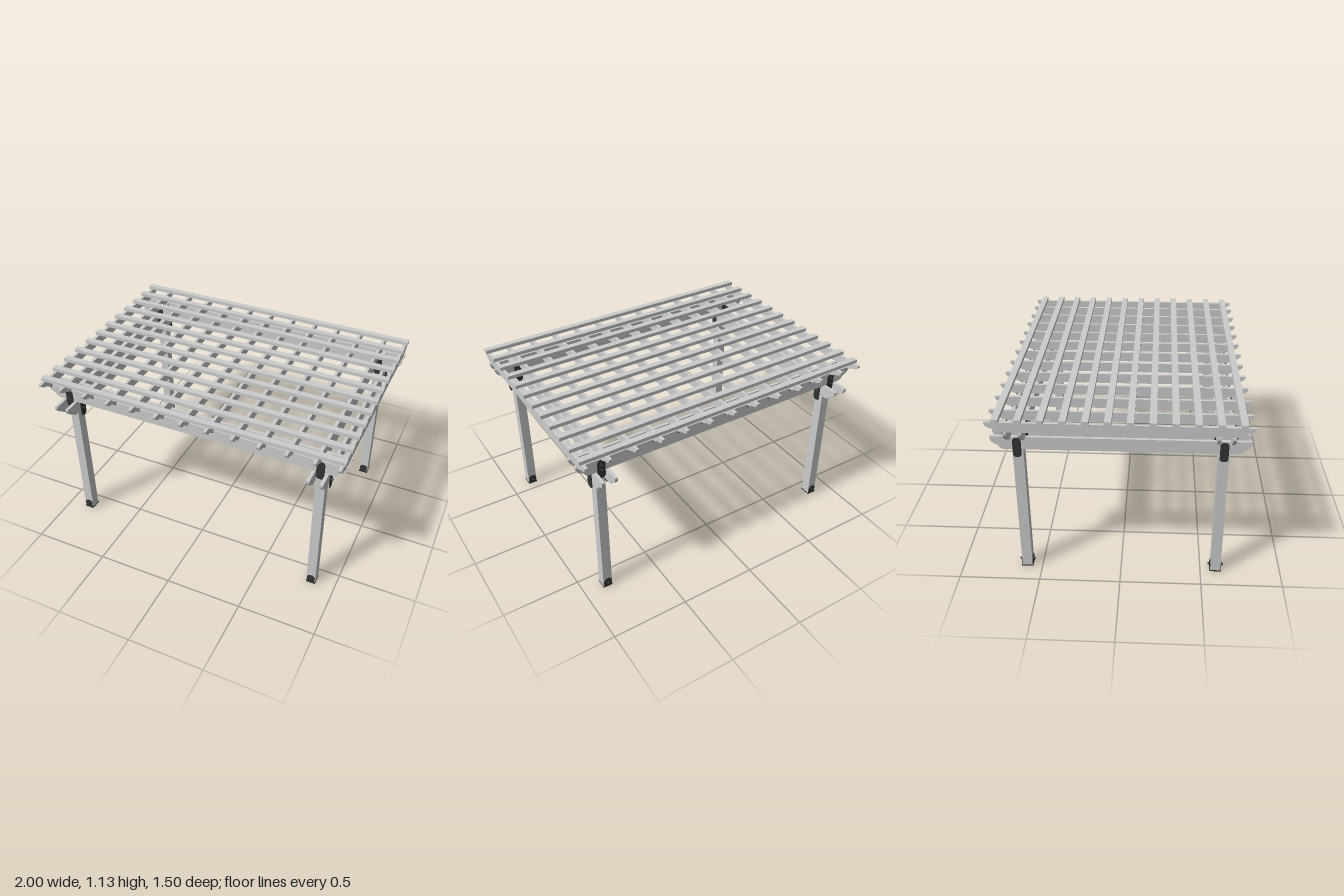
import * as THREE from 'three';

const wood = new THREE.MeshStandardMaterial({ color: 0xcccccc, flatShading: true });
const metal = new THREE.MeshStandardMaterial({ color: 0x333333, flatShading: true });

const POST_X = 0.845, POST_Z = 0.595;

function add(parent, name, geometry, material, x = 0, y = 0, z = 0) {
  const mesh = new THREE.Mesh(geometry, material);
  mesh.name = name;
  mesh.position.set(x, y, z);
  parent.add(mesh);
  return mesh;
}

// Timber along x with stepped, scrolled ends; the bottom sits at y = 0
function scrolledTimber(half, h, thick, cut) {
  const s = new THREE.Shape();
  s.moveTo(-half, h);
  s.lineTo(-half, h * 0.84);
  s.quadraticCurveTo(-half + cut * 0.12, h * 0.45, -half + cut * 0.5, h * 0.36);
  s.lineTo(-half + cut * 0.62, h * 0.3);
  s.quadraticCurveTo(-half + cut * 0.7, h * 0.04, -half + cut, 0);
  s.lineTo(half - cut, 0);
  s.quadraticCurveTo(half - cut * 0.7, h * 0.04, half - cut * 0.62, h * 0.3);
  s.lineTo(half - cut * 0.5, h * 0.36);
  s.quadraticCurveTo(half - cut * 0.12, h * 0.45, half, h * 0.84);
  s.lineTo(half, h);
  s.closePath();
  const g = new THREE.ExtrudeGeometry(s, { depth: thick, bevelEnabled: false, curveSegments: 6 });
  return g.translate(0, 0, -thick / 2);
}

// Thin upright plate with clipped corners, centred, facing +z
function clippedPlate(w, h, clipTop, clipBottom) {
  const s = new THREE.Shape();
  const a = w / 2, b = h / 2;
  s.moveTo(-a + clipBottom, -b);
  s.lineTo(a - clipBottom, -b);
  s.lineTo(a, -b + clipBottom);
  s.lineTo(a, b - clipTop);
  s.lineTo(a - clipTop, b);
  s.lineTo(-a + clipTop, b);
  s.lineTo(-a, b - clipTop);
  s.lineTo(-a, -b + clipBottom);
  s.closePath();
  return new THREE.ExtrudeGeometry(s, { depth: 0.004, bevelEnabled: false });
}

// Washer, hex head and tapered tip pointing along +z
function bolt(parent, x, y, z, size = 1) {
  const g = new THREE.Group();
  g.name = 'bolt';
  const pieces = [[0.011, 0.011, 0.003, 12, 0.0015], [0.008, 0.008, 0.006, 6, 0.006], [0.002, 0.005, 0.005, 8, 0.0115]];
  for (const [top, bottom, len, sides, at] of pieces) {
    add(g, 'boltPart', new THREE.CylinderGeometry(top, bottom, len, sides).rotateX(Math.PI / 2), metal, 0, 0, at);
  }
  g.position.set(x, y, z);
  g.scale.setScalar(size);
  parent.add(g);
}

// Bracket plate with a column of bolts, facing +z
function bracket(name, w, h, clipTop, clipBottom, boltHeights) {
  const g = new THREE.Group();
  g.name = name;
  add(g, 'plate', clippedPlate(w, h, clipTop, clipBottom), metal);
  for (const y of boltHeights) bolt(g, 0, y, 0.004);
  return g;
}

function place(parent, object, x, y, z, turn) {
  object.position.set(x, y, z);
  object.rotation.y = turn;
  parent.add(object);
}

export function createModel() {
  const model = new THREE.Group();
  model.name = 'pergola';

  // Corner posts with their shoes and beam brackets
  for (const sx of [-1, 1]) for (const sz of [-1, 1]) {
    const corner = new THREE.Group();
    corner.name = 'cornerPost';
    corner.position.set(sx * POST_X, 0, sz * POST_Z);
    model.add(corner);
    add(corner, 'post', new THREE.BoxGeometry(0.06, 1.037, 0.064), wood, 0, 0.5265, 0);
    add(corner, 'basePlate', new THREE.BoxGeometry(0.062, 0.008, 0.072), metal, 0, 0.004, 0);

    for (const side of [-1, 1]) {
      const turnZ = side > 0 ? 0 : Math.PI;
      place(corner, bracket('postShoe', 0.052, 0.066, 0.015, 0, [0.004]), 0, 0.033, side * 0.032, turnZ);
      place(corner, bracket('upperBracket', 0.05, 0.124, 0.013, 0.013, [-0.005, 0.032]), 0, 0.976, side * 0.052, turnZ);
      place(corner, bracket('lowerBracket', 0.05, 0.126, 0.013, 0.013, [-0.004, 0.034]),
        side * 0.05, 0.892, 0, side * Math.PI / 2);
    }
    // Short bolts through the post below the beams
    const lower = new THREE.Group();
    lower.name = 'lowerPostBolt';
    lower.rotation.y = sx * Math.PI / 2;
    bolt(lower, 0, 0.855, 0.03, 0.8);
    corner.add(lower);
  }

  // Paired lower beams, front to back
  const lowerBeam = scrolledTimber(0.75, 0.082, 0.02, 0.075).rotateY(Math.PI / 2);
  for (const s of [-1, 1]) for (const d of [-0.04, 0.04]) {
    add(model, 'lowerBeam', lowerBeam, wood, s * POST_X + d, 0.88, 0);
  }

  // Paired upper beams, side to side
  const upperBeam = scrolledTimber(1, 0.083, 0.02, 0.08);
  for (const s of [-1, 1]) for (const d of [-0.042, 0.042]) {
    add(model, 'upperBeam', upperBeam, wood, 0, 0.962, s * POST_Z + d);
  }

  // Rafters with slanted fixing screws at the outer beams
  const rafter = scrolledTimber(0.75, 0.06, 0.02, 0.095).rotateY(Math.PI / 2);
  const screw = new THREE.CylinderGeometry(0.004, 0.004, 0.03, 6);
  for (let i = -6; i <= 6; i++) {
    const x = Math.abs(i) === 6 ? Math.sign(i) * 0.98 : Math.abs(i) === 5 ? Math.sign(i) * 0.835 : i / 6;
    add(model, 'rafter', rafter, wood, x, 1.045, 0);
    for (const s of [-1, 1]) {
      add(model, 'rafterScrew', screw, metal, x, 1.038, s * 0.653).rotation.x = s * 0.6;
    }
  }

  // Roof slats
  const slat = new THREE.BoxGeometry(2, 0.023, 0.04);
  for (let i = 0; i < 12; i++) {
    add(model, 'roofSlat', slat, wood, 0, 1.1165, (i - 5.5) * 0.125);
  }
  return model;
}
